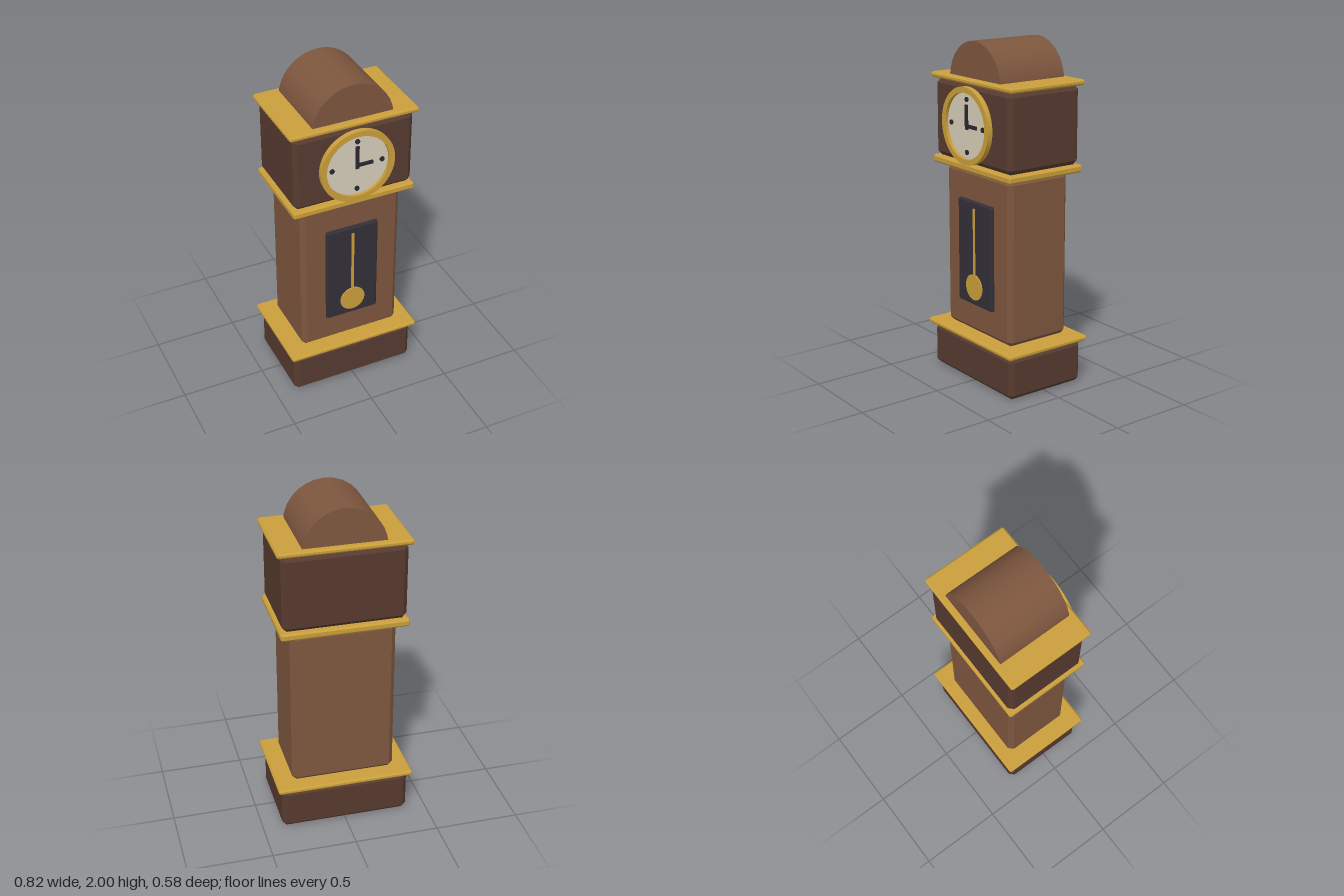
import * as THREE from 'three';
import { ConvexGeometry } from 'three/addons/geometries/ConvexGeometry.js';

const mat = (color) => new THREE.MeshStandardMaterial({ color });

export function createModel() {
  const clock = new THREE.Group();
  const wood = mat(0x7d563e), darkWood = mat(0x563a2f), gold = mat(0xc99e3b);
  const cream = mat(0xd6ccb8), glass = mat(0x332f38), black = mat(0x2a2730);

  const add = (name, geometry, material, x = 0, y = 0, z = 0, parent = clock) => {
    const mesh = new THREE.Mesh(geometry, material);
    mesh.name = name;
    mesh.position.set(x, y, z);
    parent.add(mesh);
    return mesh;
  };

  // Box with every edge chamfered by c
  const chamferBox = (w, h, d, c) => {
    const points = [];
    for (const sx of [-1, 1]) for (const sy of [-1, 1]) for (const sz of [-1, 1]) {
      for (const [a, b, e] of [[0, c, c], [c, 0, c], [c, c, 0]]) {
        points.push(new THREE.Vector3(sx * (w / 2 - a), sy * (h / 2 - b), sz * (d / 2 - e)));
      }
    }
    return new ConvexGeometry(points);
  };

  // Disc facing the front
  const disc = (r, depth, sides = 48) =>
    new THREE.CylinderGeometry(r, r, depth, sides).rotateX(Math.PI / 2);

  // Case, from the floor up: name, width, bottom, top, depth, chamfer, material
  const zCase = -0.004;
  for (const [name, w, y0, y1, d, c, m] of [
    ['plinth', 0.766, 0, 0.254, 0.518, 0.027, darkWood],
    ['plinthTrim', 0.816, 0.254, 0.286, 0.568, 0.01, gold],
    ['trunk', 0.615, 0.286, 1.26, 0.418, 0.027, wood],
    ['hoodLowerTrim', 0.74, 1.26, 1.304, 0.518, 0.01, gold],
    ['hood', 0.714, 1.304, 1.758, 0.496, 0.027, darkWood],
    ['hoodUpperTrim', 0.765, 1.758, 1.79, 0.518, 0.01, gold],
  ]) add(name, chamferBox(w, y1 - y0, d, c), m, 0, (y0 + y1) / 2, zCase);

  // Arched top: a half barrel lying front to back
  const arch = new THREE.CylinderGeometry(0.241, 0.241, 0.446, 28).rotateX(Math.PI / 2);
  add('archedTop', arch, wood, 0, 1.759, -0.005);

  // Dial with bezel, hour marks and hands
  const dial = new THREE.Group();
  dial.name = 'dial';
  dial.position.set(0, 1.531, 0);
  clock.add(dial);
  add('dialFace', disc(0.19, 0.03), cream, 0, 0, 0.255, dial);
  const ring = new THREE.Shape().absarc(0, 0, 0.221, 0, Math.PI * 2, false);
  ring.holes.push(new THREE.Path().absarc(0, 0, 0.188, 0, Math.PI * 2, true));
  add('bezel', new THREE.ExtrudeGeometry(ring, { depth: 0.031, bevelEnabled: false, curveSegments: 48 }),
    gold, 0, 0, 0.259, dial);
  for (let i = 0; i < 4; i++) {
    const a = i * Math.PI / 2;
    add('hourMark', disc(0.0145, 0.01, 16), black, 0.15 * Math.cos(a), 0.15 * Math.sin(a), 0.272, dial);
  }
  add('minuteHand', new THREE.BoxGeometry(0.02, 0.14, 0.01), black, 0, 0.05, 0.275, dial);
  add('hourHand', new THREE.BoxGeometry(0.095, 0.02, 0.01), black, 0.046, 0, 0.274, dial);

  // Pendulum window
  add('window', chamferBox(0.322, 0.62, 0.04, 0.008), glass, 0, 0.774, 0.207);
  add('pendulumRod', new THREE.BoxGeometry(0.016, 0.44, 0.012), gold, 0, 0.825, 0.226);
  add('pendulumBob', disc(0.077, 0.016, 32), gold, 0, 0.575, 0.226);

  return clock;
}
